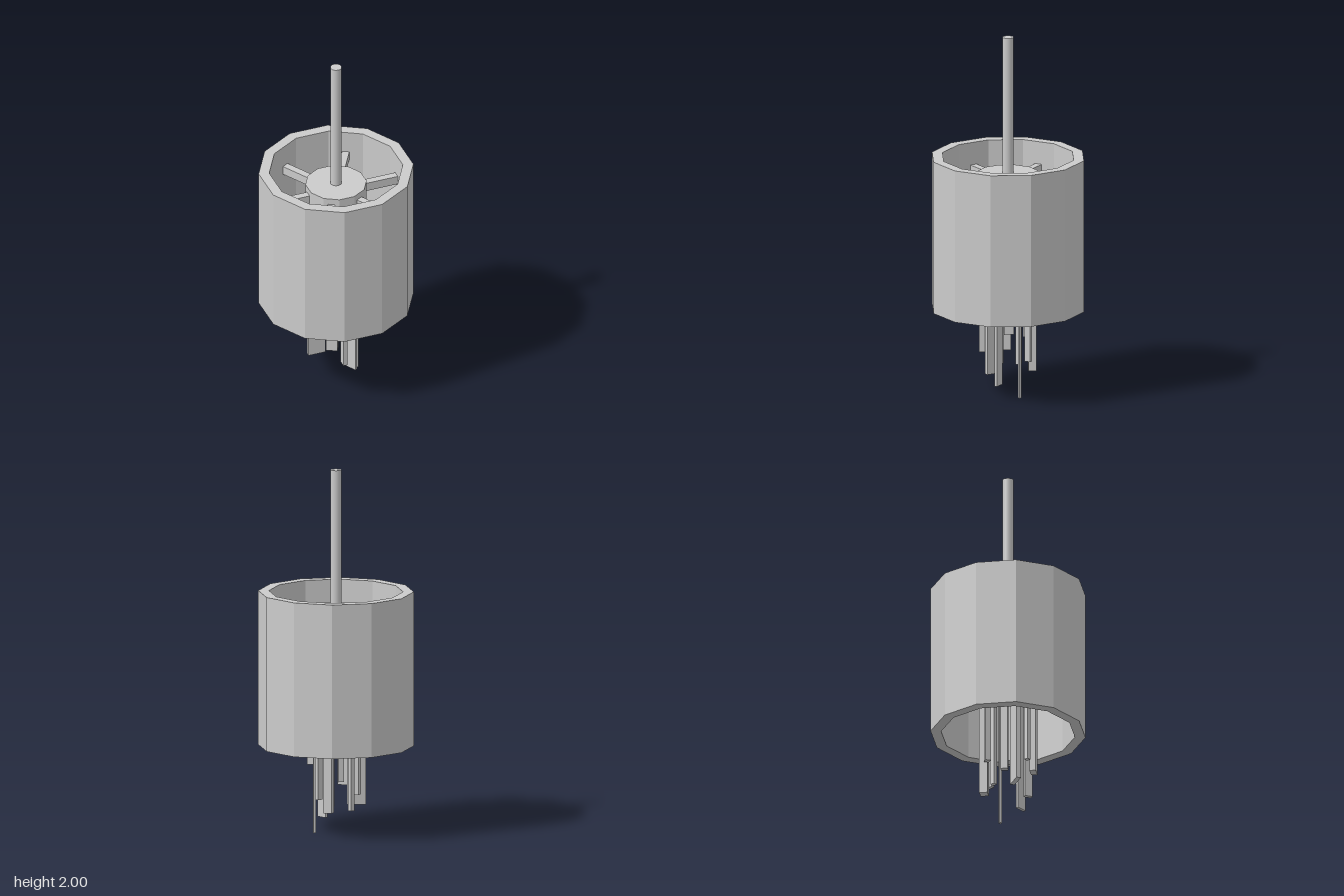
import * as THREE from 'three';

const DEG = Math.PI / 180;

export function createModel() {
  const model = new THREE.Group();
  const flat = new THREE.MeshStandardMaterial({ color: 0xcccccc, flatShading: true });
  const smooth = new THREE.MeshStandardMaterial({ color: 0xcccccc });

  function add(name, geometry, material = flat) {
    const mesh = new THREE.Mesh(geometry, material);
    mesh.name = name;
    model.add(mesh);
    return mesh;
  }

  // box lying along a ray from the axis; angle runs from +x towards +z
  function radialBox(name, angle, radius, y0, y1, radial, tangential) {
    const a = angle * DEG;
    const mesh = add(name, new THREE.BoxGeometry(radial, y1 - y0, tangential));
    mesh.position.set(radius * Math.cos(a), (y0 + y1) / 2, radius * Math.sin(a));
    mesh.rotation.y = -a;
  }

  // twelve-sided open drum with a thick wall
  const wall = [[0.365, 0.48], [0.423, 0.48], [0.423, 1.33], [0.365, 1.33], [0.365, 0.48]];
  add('drum', new THREE.LatheGeometry(wall.map(([r, y]) => new THREE.Vector2(r, y)), 12));

  // hub disc and the rod it hangs from
  const hubBottom = 1.12, hubTop = 1.24;
  add('hub', new THREE.CylinderGeometry(0.167, 0.167, hubTop - hubBottom, 12))
    .position.y = (hubTop + hubBottom) / 2;
  add('rod', new THREE.CylinderGeometry(0.031, 0.031, 2 - hubTop, 24), smooth)
    .position.y = (2 + hubTop) / 2;

  // six spokes joining hub and drum
  for (let i = 0; i < 6; i++) {
    radialBox('spoke', 15 + i * 60, 0.253, 1.155, 1.205, 0.2, 0.04);
  }

  // hanging strips, one every 30 degrees: radius, bottom, radial and tangential size
  const strips = [
    [0.109, 0.07, 0.064, 0.016],
    [0.117, 0.125, 0.045, 0.022],
    [0.14, 0.24, 0.035, 0.062],
    [0.135, 0.29, 0.025, 0.026],
    [0.115, 0.15, 0.1, 0.025],
    [0.12, 0.215, 0.03, 0.04],
    [0.124, 0.135, 0.025, 0.025],
    [0.12, 0.3, 0.03, 0.03],
    [0.132, 0.13, 0.045, 0.05],
    [0.125, 0.195, 0.035, 0.022],
    [0.12, 0, 0.014, 0.014],
    [0.13, 0.37, 0.055, 0.055],
  ];
  strips.forEach(([r, bottom, radial, tangential], i) =>
    radialBox('hangingStrip', 15 + i * 30, r, bottom, hubBottom, radial, tangential));

  return model;
}
